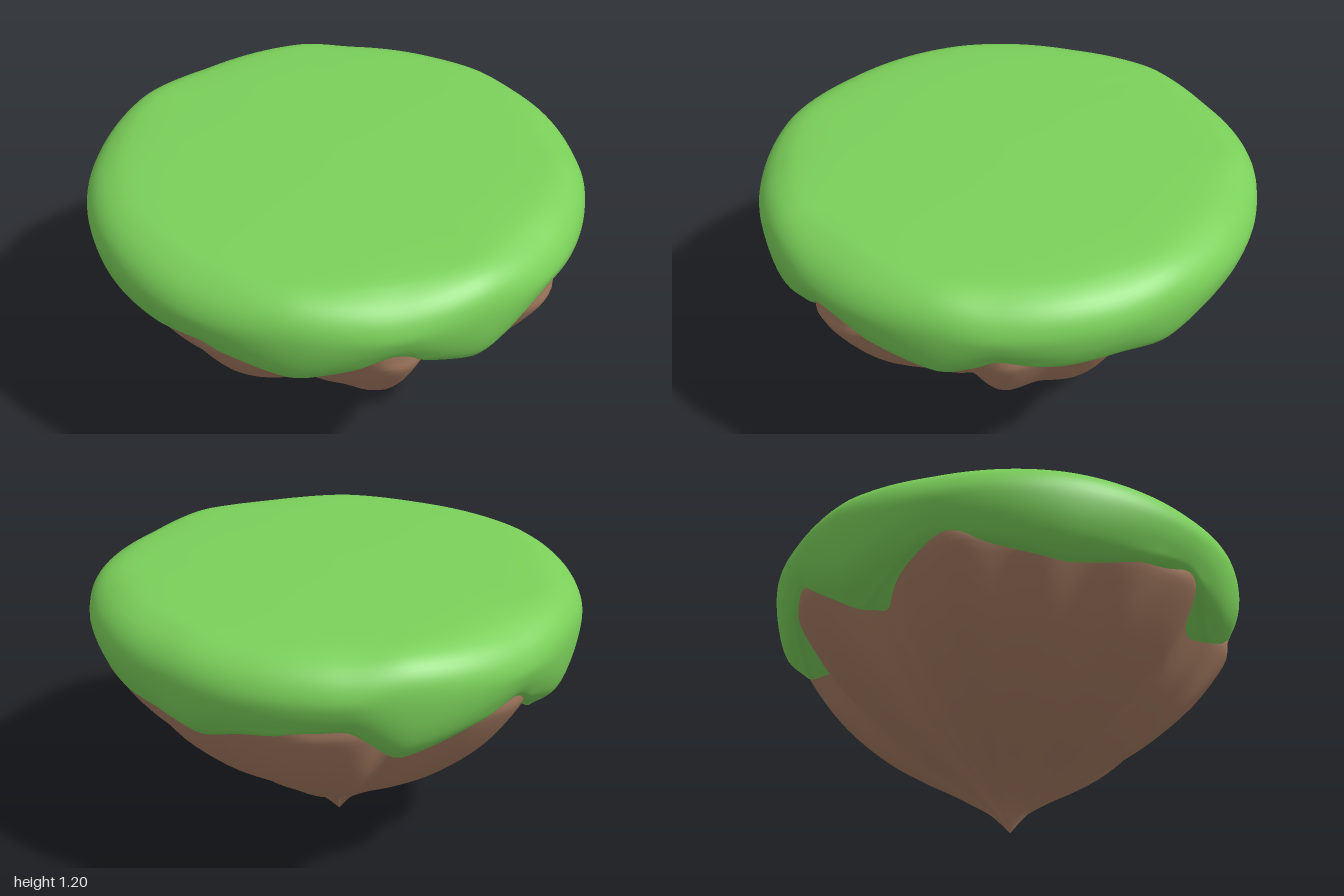
import * as THREE from 'three';

const SEGMENTS = 216;

// Lower edge of the turf: [degrees from the front towards +x, height]
const HEM = [
  [0, 0.705], [20, 0.9], [51, 0.74], [63, 0.865], [80, 0.815], [92, 0.825],
  [104, 0.76], [118, 0.83], [142, 0.87], [154, 0.705], [184, 0.88], [204, 0.695],
  [228, 0.86], [260, 0.785], [294, 0.86], [316, 0.735], [339, 0.885], [360, 0.705],
];

function hemHeight(deg) {
  const d = ((deg % 360) + 360) % 360;
  const i = HEM.findIndex((p, k) => k < HEM.length - 1 && d < HEM[k + 1][0]);
  const [a0, h0] = HEM[i], [a1, h1] = HEM[i + 1];
  const t = (d - a0) / (a1 - a0);
  const s = t * t * (3 - 2 * t);
  return h0 + (h1 - h0) * (0.65 * t + 0.35 * s);
}

// Average over a few degrees for softer folds
function softHem(deg, spread) {
  let sum = 0;
  for (let k = -2; k <= 2; k++) sum += hemHeight(deg + k * spread);
  return sum / 5;
}

// Closed skin around y; profile(deg) lists [radius, height] from top to bottom
function skin(profile, rows, material, name, lean = () => 0) {
  const positions = [], index = [];
  for (let j = 0; j < SEGMENTS; j++) {
    const deg = j * 360 / SEGMENTS, a = THREE.MathUtils.degToRad(deg);
    const curve = new THREE.SplineCurve(profile(deg).map(([r, y]) => new THREE.Vector2(r, y)));
    for (let i = 0; i <= rows; i++) {
      const p = curve.getPoint(i / rows);
      positions.push(Math.sin(a) * p.x + lean(p.y), p.y, Math.cos(a) * p.x);
    }
  }
  for (let j = 0; j < SEGMENTS; j++) {
    for (let i = 0; i < rows; i++) {
      const a = j * (rows + 1) + i, b = ((j + 1) % SEGMENTS) * (rows + 1) + i;
      index.push(a, a + 1, b, b, a + 1, b + 1);
    }
  }
  const geometry = new THREE.BufferGeometry();
  geometry.setAttribute('position', new THREE.Float32BufferAttribute(positions, 3));
  geometry.setIndex(index);
  geometry.computeVertexNormals();
  const mesh = new THREE.Mesh(geometry, material);
  mesh.name = name;
  return mesh;
}

// Turf: flat top, rounded rim, drooping lobes that tuck back under
function turfProfile(deg) {
  const h = softHem(deg, 1);
  const k = h - 0.8;
  const edge = THREE.MathUtils.clamp(0.91 + k * 0.55, 0.85, 0.93);
  return [
    [0, 1.2], [0.4, 1.195], [0.78, 1.18], [0.9, 1.157 - k * 0.1],
    [0.97, 1.105 - k * 0.15], [1, 1.03 - k * 0.1],
    [0.99, 0.66 + h * 0.35], [0.96 + k * 0.1, 0.28 + h * 0.73],
    [edge + 0.015, h + 0.02], [edge - 0.02, h], [edge - 0.08, h + 0.02], [edge - 0.17, h + 0.05],
  ];
}

// Rock: tapering body with ridges under the arches and grooves under the lobes
const ROCK = [
  [0.94, 0.95], [0.945, 0.88], [0.92, 0.8], [0.775, 0.6], [0.58, 0.42],
  [0.405, 0.3], [0.245, 0.205], [0.11, 0.115], [0.055, 0.065], [0, 0],
];
function rockProfile(deg) {
  const a = THREE.MathUtils.degToRad(deg);
  const fold = (softHem(deg, 2) - 0.86) * 1.1;
  const scale = 1 + Math.min(fold, 0.01) + 0.014 * Math.sin(17 * a + 1);
  return ROCK.map(([r, y]) => [Math.min(r * scale, 0.955), y]);
}

export function createModel() {
  const grass = new THREE.MeshStandardMaterial({ color: 0x7bd05a });
  grass.name = 'grass green';
  const earth = new THREE.MeshStandardMaterial({ color: 0xa67c62 });
  earth.name = 'earth brown';

  const island = new THREE.Group();
  island.name = 'floatingIsland';
  island.add(skin(turfProfile, 44, grass, 'grassTop'));
  // The tip of the rock leans slightly to one side
  island.add(skin(rockProfile, 36, earth, 'rockBase', (y) => -0.02 * Math.max(0, 1 - y / 0.15)));
  return island;
}
